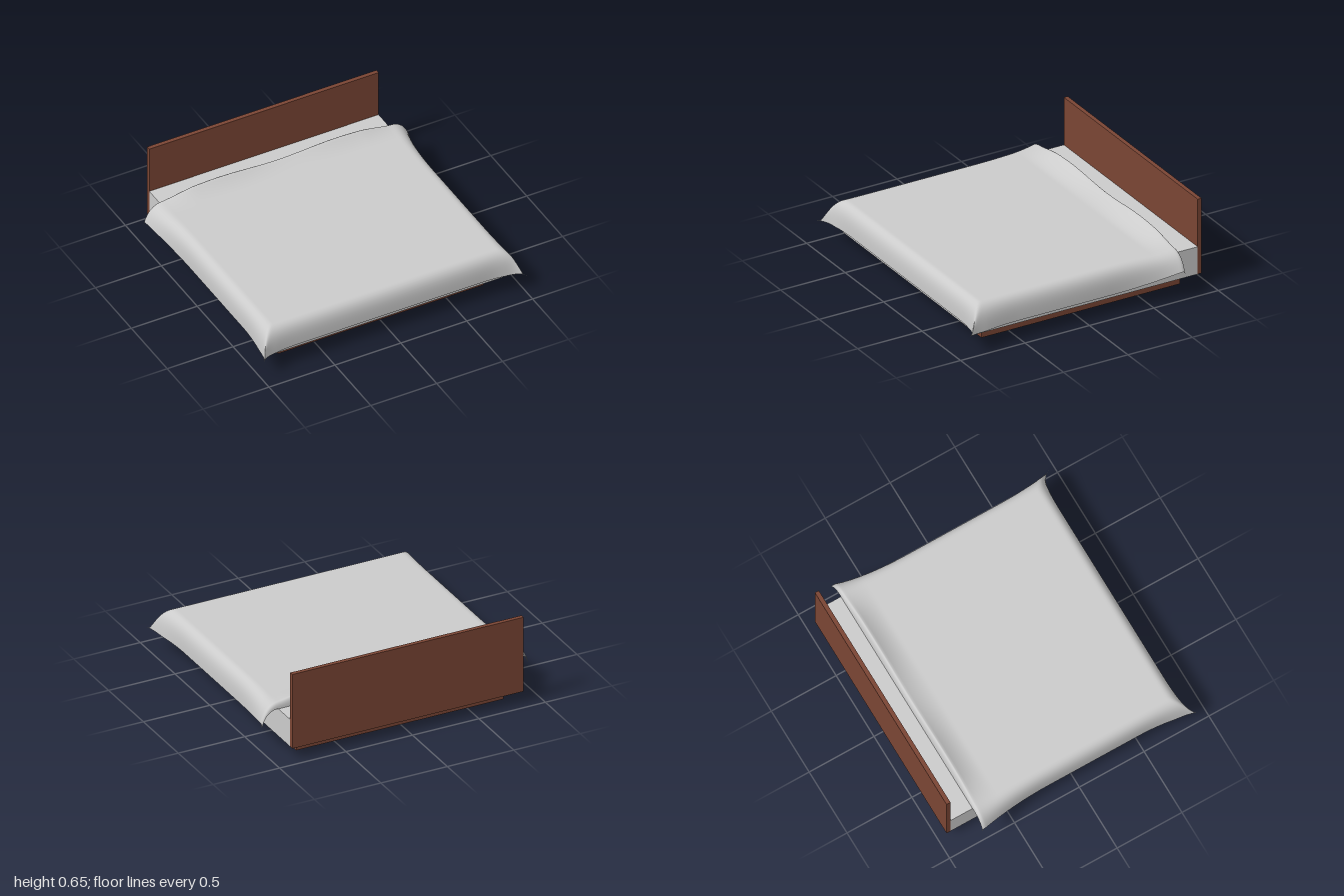
import * as THREE from 'three';

const clamp = (v) => Math.min(1, Math.max(0, v));
const smooth = (v) => { const t = clamp(v); return t * t * (3 - 2 * t); };

// Box given by its limits along each axis
function slab(name, [x0, x1], [y0, y1], [z0, z1], material) {
  const mesh = new THREE.Mesh(new THREE.BoxGeometry(x1 - x0, y1 - y0, z1 - z0), material);
  mesh.position.set((x0 + x1) / 2, (y0 + y1) / 2, (z0 + z1) / 2);
  mesh.name = name;
  return mesh;
}

// Flat sheet draped over the mattress: a runs across, b runs from head to foot
function drape(a, b) {
  const side = Math.abs(a);
  const p = clamp((side - 0.86) / 0.2);            // how far over the long sides
  const q = clamp((b - 0.77) / 0.2);               // how far over the foot
  const fold = clamp((-0.72 - b) / 0.08);          // turned-down edge at the head
  const bulge = (t) => 1 - (1 - t) ** 3;

  // corners flare outwards
  const footFlare = clamp((b - 0.5) / 0.47) ** 2;
  const headFlare = clamp((-0.2 - b) / 0.52) ** 2;
  const cornerFlare = clamp((side - 0.65) / 0.41) ** 3;
  const x = Math.min(side, 0.86) + 0.07 * bulge(p) + 0.07 * p * (footFlare + headFlare);
  let z = Math.min(b, 0.77) + 0.07 * bulge(q) + 0.1 * q * cornerFlare;
  if (b < -0.72) z = -0.72 - 0.025 * Math.sin(fold * Math.PI / 2);

  // hanging sides, then the wavy ridge at the head
  const drop = Math.min(1, (p ** 4 + q ** 4) ** 0.25);
  let y = 0.325 - 0.185 * drop ** 1.5 + 0.015 * p * q + 0.07 * p * headFlare;
  const ridge = (0.045 + 0.02 * Math.sin(Math.PI * Math.min(side, 0.9) / 0.9) ** 2)
    * smooth((1.02 - side) / 0.4);
  y += ridge * clamp((-0.56 - b) / 0.16) ** 1.8 - fold * fold * (0.03 + ridge);
  return [Math.sign(a) * x, y, z];
}

function makeBlanket(material) {
  const geometry = new THREE.PlaneGeometry(2.12, 1.77, 130, 130);
  geometry.rotateX(-Math.PI / 2);
  geometry.translate(0, 0, 0.085);
  const pos = geometry.attributes.position;
  for (let i = 0; i < pos.count; i++) pos.setXYZ(i, ...drape(pos.getX(i), pos.getZ(i)));
  geometry.computeVertexNormals();
  const mesh = new THREE.Mesh(geometry, material);
  mesh.name = 'blanket';
  return mesh;
}

export function createModel() {
  const wood = new THREE.MeshStandardMaterial({ color: 0x7a4534 });
  const fabric = new THREE.MeshStandardMaterial({ color: 0xcccccc });
  const cloth = new THREE.MeshStandardMaterial({ color: 0xcccccc, side: THREE.DoubleSide });

  const bed = new THREE.Group();
  bed.name = 'bed';
  bed.add(
    slab('base', [-0.775, 0.785], [0, 0.09], [-0.83, 0.71], wood),
    slab('mattress', [-0.865, 0.875], [0.09, 0.295], [-0.915, 0.8], fabric),
    slab('headboard', [-0.865, 0.875], [0.09, 0.65], [-0.945, -0.915], wood),
    makeBlanket(cloth),
  );
  return bed;
}
